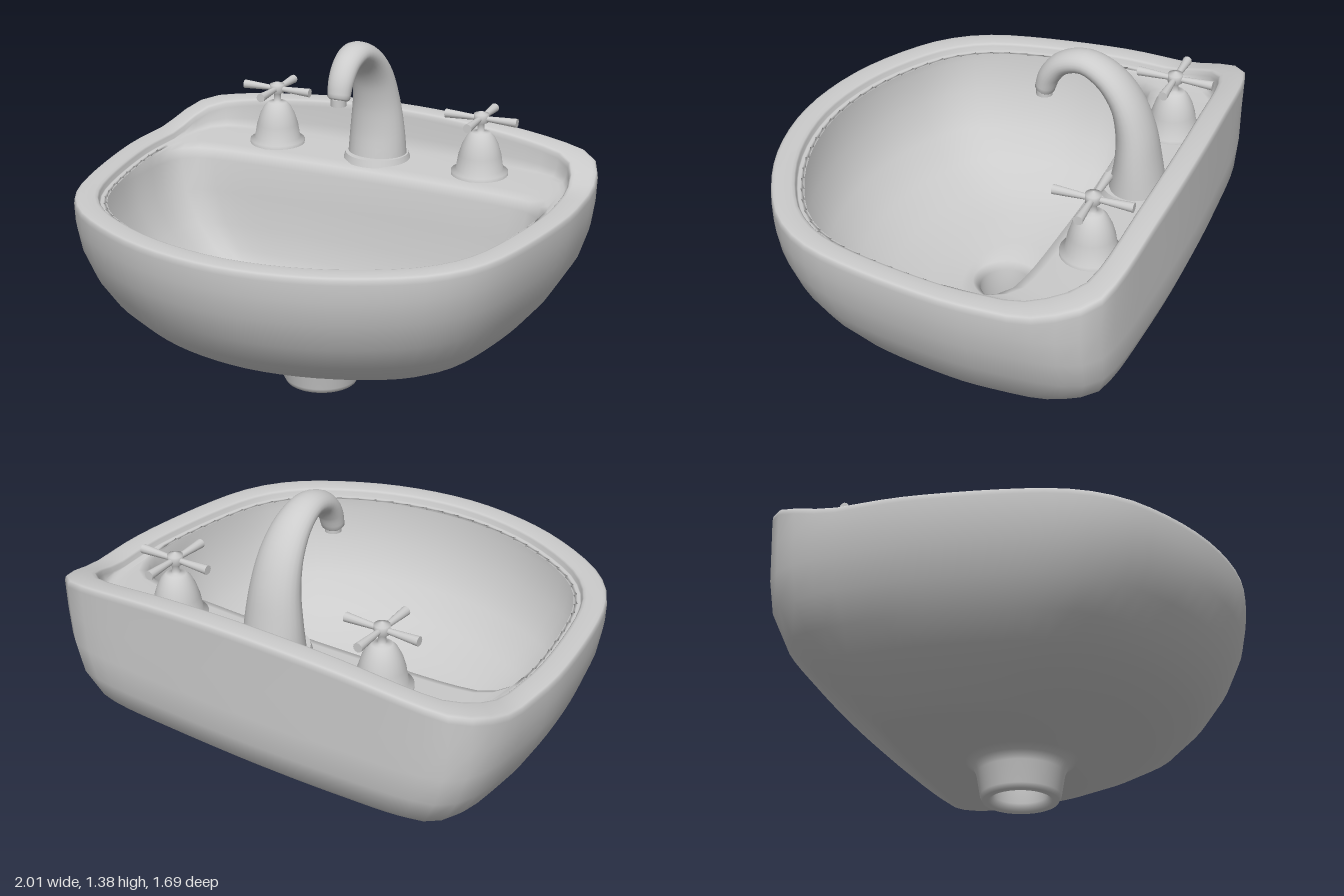
import * as THREE from 'three';

const material = new THREE.MeshStandardMaterial({ color: 0xcccccc, side: THREE.DoubleSide });

function addMesh(parent, geometry, name) {
  const mesh = new THREE.Mesh(geometry, material);
  mesh.name = name;
  parent.add(mesh);
  return mesh;
}

// Skin a stack of equal-length rings; rings run back -> left -> front -> right.
function loft(rings, closed) {
  const n = rings[0].length, index = [];
  const last = closed ? rings.length : rings.length - 1;
  for (let k = 0; k < last; k++) {
    const k1 = (k + 1) % rings.length;
    for (let i = 0; i < n; i++) {
      const j = (i + 1) % n;
      const a = k * n + i, b = k1 * n + i, c = k * n + j, d = k1 * n + j;
      index.push(a, b, c, c, b, d);
    }
  }
  const geometry = new THREE.BufferGeometry().setFromPoints(rings.flat());
  geometry.setIndex(index);
  geometry.computeVertexNormals();
  return geometry;
}

// D-shaped plan of the rim, back centre to front centre, mirrored in x.
const half = [
  [0, -0.85], [0.4, -0.84], [0.8, -0.81], [0.91, -0.77], [0.975, -0.65], [1, -0.42],
  [1, -0.18], [0.9, 0.35], [0.79, 0.53], [0.64, 0.65], [0.35, 0.785], [0, 0.84],
];
const mirrored = half.slice(1, -1).reverse().map(([x, z]) => [-x, z]);
const outline = new THREE.CatmullRomCurve3(
  [...half, ...mirrored].map(([x, z]) => new THREE.Vector3(x, 0, z)), true,
).getSpacedPoints(72).slice(0, 72);

// Rise of the rim towards the back, highest in the middle.
const rimRise = (p) => 0.145 * THREE.MathUtils.smoothstep(-p.z, 0.48, 0.8) * (1 - 0.6 * p.x * p.x);

// One level of the basin: round blends the plan into a circle, lift follows the rim rise.
function basinRing(y, halfWidth, front, back, round = 0, lift = 0) {
  const mid = (front + back) / 2, radius = (front - back) / 2;
  return outline.map((p) => {
    const angle = Math.atan2(p.z, p.x);
    const z = THREE.MathUtils.lerp(back, front, (p.z + 0.85) / 1.69);
    return new THREE.Vector3(
      halfWidth * THREE.MathUtils.lerp(p.x, Math.cos(angle), round),
      y + lift * rimRise(p),
      THREE.MathUtils.lerp(z, mid + radius * Math.sin(angle), round),
    );
  });
}

// Circular level around the drain, and a level set in from the rim outline.
const drainRing = (y, r) => basinRing(y, r, r - 0.07, -r - 0.07, 1);
const insetRing = (y, inset, lift) => basinRing(y, 1 - inset, 0.84 - inset, inset - 0.85, 0, lift);

function createBasin(group) {
  const pipe = [[0, 0.15], [0.02, 0.16], [0.11, 0.175], [0.145, 0.19], [0.164, 0.22]];
  // height, half width, front z, back z
  const wall = [
    [0.168, 0.52, 0.16, -0.49], [0.2, 0.6, 0.27, -0.55], [0.26, 0.7, 0.45, -0.625],
    [0.33, 0.8, 0.595, -0.705], [0.42, 0.875, 0.695, -0.805], [0.53, 0.94, 0.77, -0.845],
    [0.65, 0.98, 0.82, -0.85],
  ];
  const deckEdge = [[0.815, 0.888, 0.73, -0.5], [0.8, 0.882, 0.728, -0.455]];
  const bowl = [
    [0.76, 0.875, 0.724, -0.435], [0.62, 0.85, 0.7, -0.42], [0.48, 0.775, 0.62, -0.4],
    [0.38, 0.68, 0.5, -0.375], [0.31, 0.57, 0.37, -0.345], [0.265, 0.44, 0.22, -0.3, 0.3],
    [0.235, 0.26, 0.1, -0.22, 0.8],
  ];
  const bore = [[0.215, 0.14], [0.19, 0.11], [0.03, 0.11], [0, 0.125]];

  // rounded rim: a flattened half circle carried over from outside to inside
  const rim = Array.from({ length: 9 }, (_, i) => {
    const c = Math.cos((i * Math.PI) / 8), s = Math.abs(Math.sin((i * Math.PI) / 8));
    const inset = 0.05 * (1 - Math.sign(c) * Math.sqrt(Math.abs(c)));
    return insetRing(0.82 + 0.03 * Math.sqrt(s), inset, 1);
  });

  const rings = [
    ...pipe.map((l) => drainRing(...l)),
    ...wall.map((l) => basinRing(...l)),
    insetRing(0.75, 0.003, 0.3),
    ...rim,
    insetRing(0.82, 0.105, 0.4), insetRing(0.818, 0.115, 0.06), insetRing(0.816, 0.13, 0),
    ...deckEdge.map((l) => basinRing(...l)),
    ...bowl.map((l) => basinRing(...l)),
    ...bore.map((l) => drainRing(...l)),
  ];
  addMesh(group, loft(rings, true), 'basin');
}

function createSpout(group) {
  const spout = new THREE.Group();
  spout.name = 'spout';
  // height, z, half width across x, half thickness
  const stations = [
    [0.81, -0.62, 0.13, 0.115], [0.95, -0.617, 0.12, 0.09], [1.08, -0.602, 0.105, 0.075],
    [1.2, -0.56, 0.092, 0.062], [1.29, -0.485, 0.078, 0.053], [1.333, -0.39, 0.065, 0.046],
    [1.31, -0.3, 0.058, 0.044], [1.25, -0.247, 0.054, 0.043], [1.185, -0.226, 0.048, 0.039],
  ];
  const path = new THREE.CatmullRomCurve3(stations.map(([y, z]) => new THREE.Vector3(0, y, z)));
  const sizes = new THREE.CatmullRomCurve3(stations.map((s) => new THREE.Vector3(s[2], s[3], 0)));
  const rings = [];
  for (let k = 0; k <= 32; k++) {
    const center = path.getPoint(k / 32), tangent = path.getTangent(k / 32);
    const size = sizes.getPoint(k / 32);
    rings.push(Array.from({ length: 24 }, (_, i) => {
      const a = (i / 24) * Math.PI * 2, depth = -size.y * Math.cos(a);
      return new THREE.Vector3(
        size.x * Math.sin(a), center.y - tangent.z * depth, center.z + tangent.y * depth);
    }));
  }
  // rounded, closed tip
  const tip = path.getPoint(1), drop = new THREE.Vector3(0, -0.008, 0);
  for (const s of [0.8, 0]) {
    rings.push(rings[32].map((p) => p.clone().sub(tip).multiplyScalar(s).add(tip).add(drop)));
  }
  addMesh(spout, loft(rings, false), 'spoutNeck');

  const nozzle = addMesh(spout, new THREE.CylinderGeometry(0.032, 0.032, 0.03, 20), 'spoutNozzle');
  nozzle.position.set(0, 1.17, -0.224);
  const flange = addMesh(spout, new THREE.CylinderGeometry(0.135, 0.145, 0.03, 32), 'spoutFlange');
  flange.position.set(0, 0.825, -0.615);
  group.add(spout);
}

function createHandle(group, side) {
  const handle = new THREE.Group();
  handle.name = side > 0 ? 'leftHandle' : 'rightHandle';
  handle.position.set(side * 0.475, 0, -0.605);

  // flange, bell, neck and hub in one turned profile
  const profile = [
    [0.12, 0.8], [0.12, 0.83], [0.1, 0.84], [0.09, 0.9], [0.076, 0.945], [0.058, 0.98],
    [0.04, 0.998], [0.015, 1.002], [0.015, 1.035], [0.03, 1.042], [0.031, 1.078], [0, 1.09],
  ].map(([r, y]) => new THREE.Vector2(r, y));
  addMesh(handle, new THREE.LatheGeometry(profile, 24), 'handleBell');

  // four flared cross arms
  for (let i = 0; i < 4; i++) {
    const pivot = new THREE.Group();
    pivot.name = 'handleArm';
    pivot.rotation.y = (i * Math.PI) / 2;
    const arm = addMesh(pivot, new THREE.CylinderGeometry(0.011, 0.019, 0.14, 12), 'armRod');
    arm.rotation.z = Math.PI / 2;
    arm.position.set(0.088, 1.058, 0);
    handle.add(pivot);
  }
  group.add(handle);
}

export function createModel() {
  const group = new THREE.Group();
  group.name = 'washbasin';
  createBasin(group);
  createSpout(group);
  for (const side of [-1, 1]) createHandle(group, side);
  return group;
}
